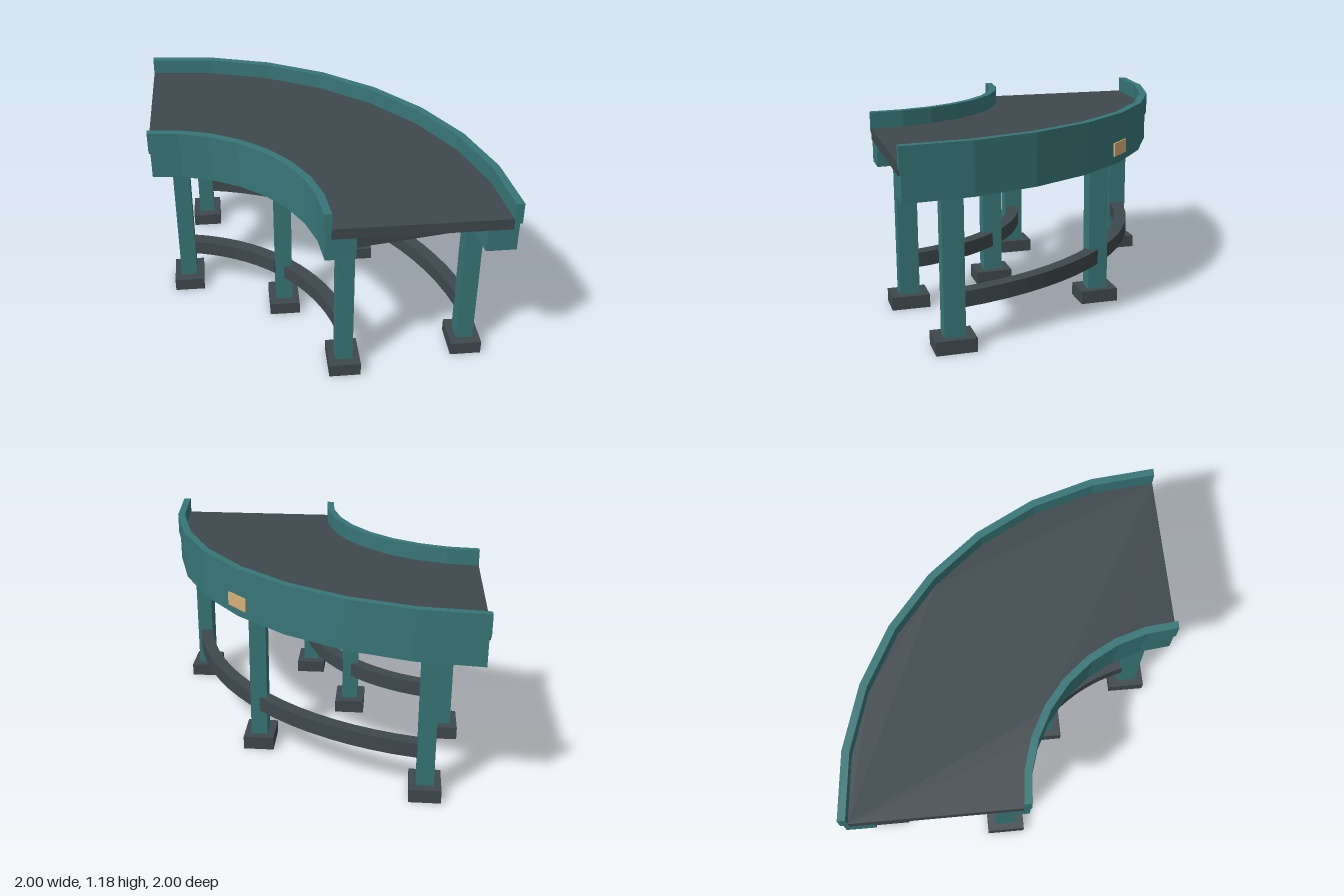
import * as THREE from 'three';

export function createModel() {
  const model = new THREE.Group();
  model.name = 'curvedConveyor';

  const paint = (name, color) => {
    const m = new THREE.MeshStandardMaterial({ color });
    m.name = name;
    return m;
  };
  const teal = paint('teal', 0x387577);
  const charcoal = paint('charcoal', 0x3e484d);
  const tan = paint('tan', 0xd6ae78);

  const rad = THREE.MathUtils.degToRad;
  const CX = -1, CZ = 1; // centre of the bend

  function add(name, geometry, material) {
    const mesh = new THREE.Mesh(geometry, material);
    mesh.name = name;
    model.add(mesh);
    return mesh;
  }

  // Faceted ring sector between two radii, two heights and two angles (degrees)
  function arc(name, material, r0, r1, y0, y1, a0 = 0, a1 = 90, segments = 8) {
    const points = [];
    const put = (r, i) => {
      const a = rad(a0 + ((a1 - a0) * i) / segments);
      points.push(new THREE.Vector2(r * Math.cos(a), r * Math.sin(a)));
    };
    for (let i = 0; i <= segments; i++) put(r1, i);
    for (let i = segments; i >= 0; i--) put(r0, i);
    const geometry = new THREE.ExtrudeGeometry(new THREE.Shape(points), { depth: y1 - y0, bevelEnabled: false });
    geometry.rotateX(-Math.PI / 2).translate(CX, y0, CZ);
    return add(name, geometry, material);
  }

  // Box placed by radius and angle; turned boxes have local x pointing outward
  function polarBox(name, material, size, r, angle, y, turned) {
    const a = rad(angle);
    const mesh = add(name, new THREE.BoxGeometry(...size), material);
    mesh.position.set(CX + r * Math.cos(a), y, CZ - r * Math.sin(a));
    if (turned) mesh.rotation.y = a;
    return mesh;
  }

  // Belt, guard rails and the frame beams under them
  arc('belt', charcoal, 0.985, 1.957, 1.02, 1.085);
  arc('outerRail', teal, 1.955, 2.0, 1.055, 1.18);
  arc('innerRail', teal, 0.943, 0.987, 1.055, 1.18);
  arc('outerBeam', teal, 1.82, 1.99, 0.88, 1.055, 0.3, 89.7);
  arc('innerBeam', teal, 0.95, 1.12, 0.88, 1.055, 0.6, 89.4);

  // Legs with feet, joined across the bend by radial bars
  const legAngles = [9.2, 45, 80.8];
  const rows = [['inner', 1.093, 2], ['outer', 1.843, 1.4]];
  for (const angle of legAngles) {
    for (const [side, r] of rows) {
      polarBox(side + 'Leg', teal, [0.1, 0.87, 0.12], r, angle, 0.505);
      polarBox(side + 'Foot', charcoal, [0.184, 0.08, 0.23], r, angle, 0.04);
    }
    polarBox('crossBar', charcoal, [0.67, 0.08, 0.08], 1.468, angle, 0.895, true);
  }

  // Curved braces between neighbouring legs
  for (const [side, r, trim] of rows) {
    for (let i = 0; i < 2; i++) {
      arc(side + 'Brace', charcoal, r - 0.04, r + 0.04, 0.24, 0.33,
        legAngles[i] + trim, legAngles[i + 1] - trim, 8);
    }
  }

  // Small plate on the outer beam
  polarBox('plate', tan, [0.009, 0.08, 0.165], 1.993, 45, 0.97, true);

  return model;
}
